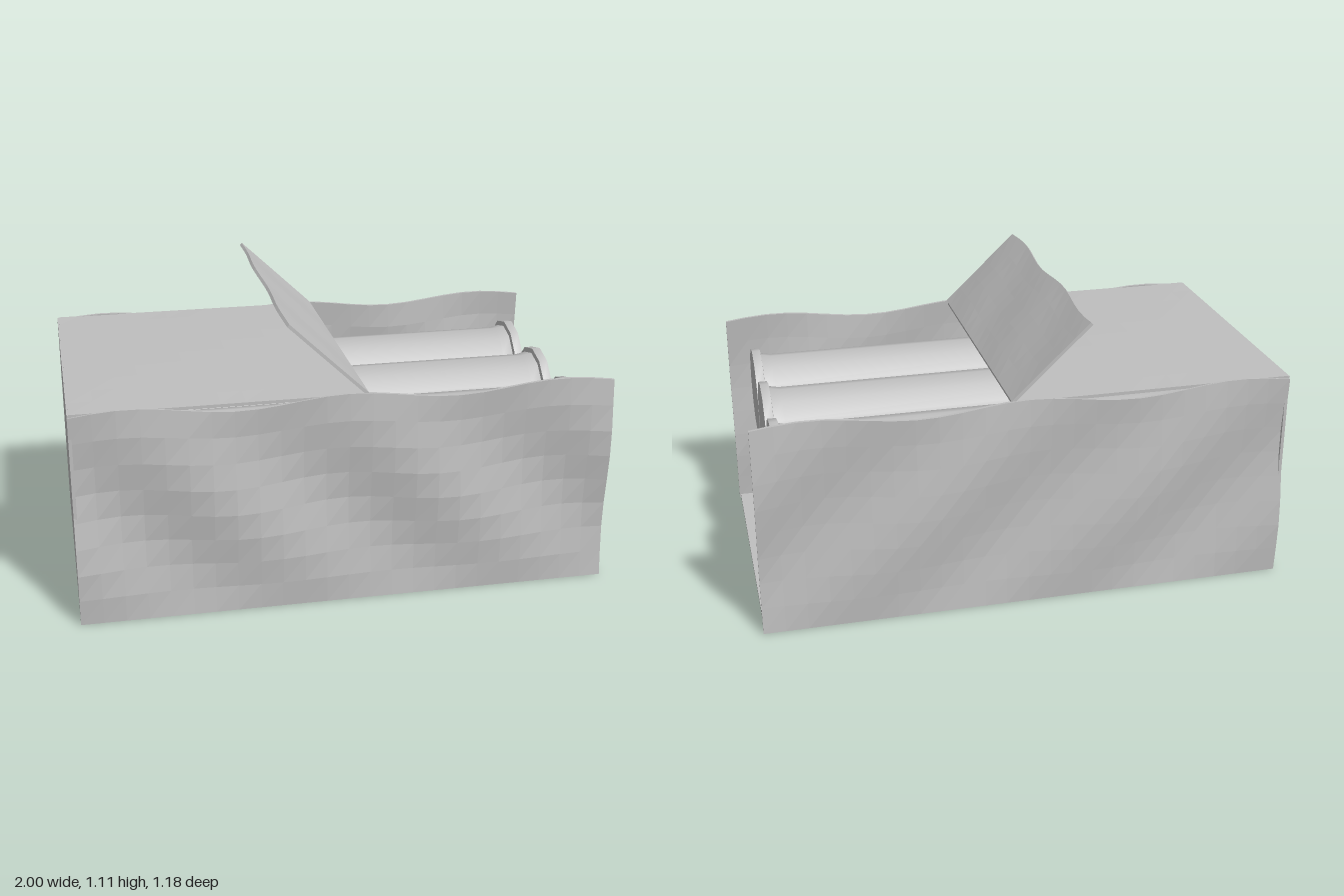
import * as THREE from 'three';
import { toCreasedNormals } from 'three/addons/utils/BufferGeometryUtils.js';

const HALF_Z = 0.56, HEIGHT = 0.81, SHEET = 0.012;

export function createModel() {
  const model = new THREE.Group();
  const grey = new THREE.MeshStandardMaterial({ color: 0xbfbfbf });

  // A thin segmented sheet whose vertices are moved by a rule, faceted
  function sheet(name, size, segments, rule) {
    const geo = new THREE.BoxGeometry(...size, ...segments);
    const pos = geo.attributes.position;
    const p = new THREE.Vector3();
    for (let i = 0; i < pos.count; i++) {
      p.fromBufferAttribute(pos, i);
      rule(p);
      pos.setXYZ(i, p.x, p.y, p.z);
    }
    const flat = geo.toNonIndexed();
    flat.computeVertexNormals();
    const mesh = new THREE.Mesh(flat, grey);
    mesh.name = name;
    model.add(mesh);
    return mesh;
  }

  // Floor
  sheet('floor', [1.99, 0.015, 2 * HALF_Z], [1, 1, 1], p => { p.y += 0.0075; });

  // Rippled side walls with wavy top edges
  for (const side of [1, -1]) {
    sheet(side > 0 ? 'leftWall' : 'rightWall', [2, HEIGHT, SHEET], [24, 8, 1], p => {
      const t = p.y / HEIGHT + 0.5;
      const wave = Math.cos(7.85 * p.x + 5 * t + 0.8);
      p.y = t * (HEIGHT + 0.018 * Math.cos(7.85 * p.x));
      p.z += side * (HALF_Z + 0.022 * Math.sin(Math.PI * t) * wave);
    });
  }

  // Closed end
  sheet('endWall', [SHEET, 0.82, 2 * HALF_Z], [1, 6, 8], p => {
    const t = p.y / 0.82 + 0.5;
    p.y += 0.41;
    p.x += -0.994 + 0.008 * Math.sin(Math.PI * t) * Math.cos(Math.PI * p.z / (2 * HALF_Z));
  });

  // Top panel, bulging slightly in the middle
  sheet('topPanel', [1.06, SHEET, 2 * HALF_Z], [12, 1, 10], p => {
    const across = Math.cos(Math.PI * p.z / (2 * HALF_Z));
    const along = Math.cos(Math.PI * p.x / 1.06);
    p.x -= 0.465;
    p.y += 0.816 + 0.01 * across * along;
  });

  // Folded-back flap with a wavy free edge
  const flap = sheet('flap', [0.4, SHEET, 2 * HALF_Z], [5, 1, 16], p => {
    const t = p.x / 0.4 + 0.5;
    p.x = t * (0.4 + 0.009 * Math.sin(11.4 * p.z - 2.8));
    p.y += 0.004 * Math.sin(Math.PI * t) * Math.sin(11.4 * p.z);
  });
  flap.position.set(0.065, 0.822, 0);
  flap.rotation.z = Math.PI - 0.76;

  // Cans: slim bodies with broad rims at both ends
  const profile = [
    [0, -0.915], [0.177, -0.915], [0.177, -0.882], [0.158, -0.88], [0.15, -0.84],
    [0.15, 0.84], [0.158, 0.88], [0.177, 0.882], [0.177, 0.915], [0, 0.915],
  ].map(([r, y]) => new THREE.Vector2(r, y));
  const canGeo = toCreasedNormals(new THREE.LatheGeometry(profile, 12), 0.6);
  canGeo.rotateZ(-Math.PI / 2);
  const cans = new THREE.Group();
  cans.name = 'cans';
  for (const y of [0.203, 0.57]) {
    for (const z of [-0.36, 0, 0.36]) {
      const can = new THREE.Mesh(canGeo, grey);
      can.name = 'can';
      can.position.set(0, y, z);
      cans.add(can);
    }
  }
  model.add(cans);

  return model;
}
